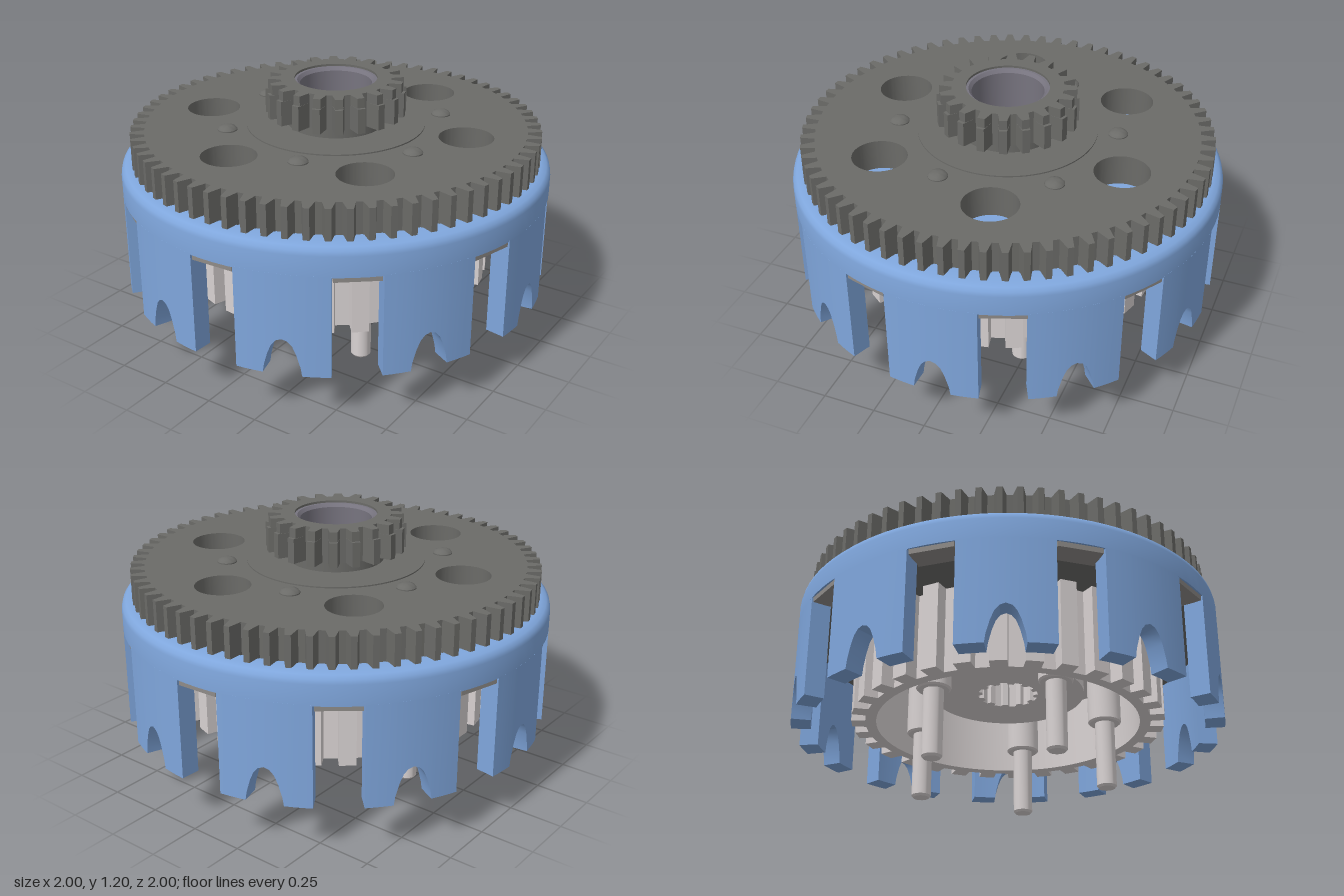
import * as THREE from 'three';
import { toCreasedNormals } from 'three/addons/utils/BufferGeometryUtils.js';

const DEG = Math.PI / 180;
const mat = (color) => new THREE.MeshStandardMaterial({ color });
const blue = mat(0x7fa6dc), dark = mat(0x6b6b68), steel = mat(0xd8d2d2), bronze = mat(0x77747f), tabGrey = mat(0x8e8b88);

function add(parent, name, geometry, material) {
  const mesh = new THREE.Mesh(geometry, material);
  mesh.name = name;
  parent.add(mesh);
  return mesh;
}

// Outline of a gear with n trapezoid teeth; base and tip are tooth width fractions
function gearPoints(n, root, tip, base = 0.66, top = 0.3, phase = 0) {
  const pts = [];
  for (let i = 0; i < n; i++) {
    for (const [r, f] of [[root, -base / 2], [tip, -top / 2], [tip, top / 2], [root, base / 2]]) {
      const a = ((i + f) / n) * Math.PI * 2 + phase;
      pts.push(new THREE.Vector2(r * Math.cos(a), r * Math.sin(a)));
    }
  }
  return pts;
}

const circlePath = (r, x = 0, y = 0) => new THREE.Path().absarc(x, y, r, 0, Math.PI * 2, true);
const disc = (r) => new THREE.Shape().absarc(0, 0, r, 0, Math.PI * 2, false);

// Flat plate raised from y0 to y1 (shape y becomes -z)
function plate(shape, holes, y0, y1) {
  shape.holes.push(...holes);
  const g = new THREE.ExtrudeGeometry(shape, { depth: y1 - y0, bevelEnabled: false, curveSegments: 48 });
  g.rotateX(-Math.PI / 2).translate(0, y0, 0);
  return toCreasedNormals(g, 0.35);
}

function lathe(profile, segments = 96) {
  const g = new THREE.LatheGeometry(profile.map(([r, y]) => new THREE.Vector2(r, y)), segments);
  return toCreasedNormals(g, 0.6);
}

// Curved basket finger whose lower edge has an arched notch
function fingerGeometry() {
  const half = 11.9 * DEG, rIn = 0.91, rOut = 1, yTop = 0.705;
  const arch = [[0.085, 0.23], [0.079, 0.27], [0.062, 0.33], [0.045, 0.37], [0.025, 0.393], [0, 0.402]];
  const side = [[half, 0.23], [half * 0.8, 0.23], [half * 0.6, 0.23], ...arch];
  const cols = [...side.map(([a, y]) => [-a, y]), ...side.slice(0, -1).reverse()];
  const pos = [], idx = [];
  for (const [a, y] of cols) {
    const s = Math.sin(a), c = Math.cos(a);
    pos.push(rOut * s, y, rOut * c, rOut * s, yTop, rOut * c, rIn * s, yTop, rIn * c, rIn * s, y, rIn * c);
  }
  for (let i = 0; i < cols.length - 1; i++) {
    for (let k = 0; k < 4; k++) {
      const a = i * 4 + k, b = i * 4 + ((k + 1) % 4);
      idx.push(a, a + 4, b + 4, a, b + 4, b);
    }
  }
  const e = (cols.length - 1) * 4;
  idx.push(0, 1, 2, 0, 2, 3, e, e + 2, e + 1, e, e + 3, e + 2);
  const g = new THREE.BufferGeometry();
  g.setAttribute('position', new THREE.Float32BufferAttribute(pos, 3));
  g.setIndex(idx);
  return toCreasedNormals(g, 0.5);
}

export function createModel() {
  const model = new THREE.Group();
  model.name = 'clutchBasketAssembly';

  // Basket: rounded top ring with closed floor, and ten fingers
  const basket = new THREE.Group();
  basket.name = 'basket';
  model.add(basket);
  add(basket, 'basketTop', lathe([
    [0.21, 0.72], [0.91, 0.72], [0.91, 0.7], [1, 0.7], [1, 0.795], [0.995, 0.815],
    [0.98, 0.83], [0.955, 0.838], [0.9, 0.84], [0.86, 0.8], [0.21, 0.8], [0.21, 0.72],
  ]), blue);
  const finger = fingerGeometry();
  const tab = new THREE.BoxGeometry(0.2, 0.033, 0.11);
  for (let i = 0; i < 10; i++) {
    add(basket, 'finger', finger, blue).rotation.y = (20.7 + 36 * i) * DEG;
    const t = add(basket, 'slotTab', tab, tabGrey);
    const a = (2.7 + 36 * i) * DEG;
    t.position.set(0.935 * Math.sin(a), 0.693, 0.935 * Math.cos(a));
    t.rotation.y = a;
  }
  add(basket, 'backingPlate', plate(disc(0.912), [circlePath(0.21)], 0.68, 0.72), dark);

  // Large driven gear with six windows and rivets
  const windows = [];
  for (let i = 0; i < 6; i++) {
    const a = (15 + 60 * i) * DEG;
    windows.push(circlePath(0.125, 0.62 * Math.cos(a), 0.62 * Math.sin(a)));
  }
  windows.push(circlePath(0.2));
  add(model, 'largeGear', plate(new THREE.Shape(gearPoints(68, 0.885, 0.95)), windows, 0.835, 0.98), dark);
  const rivet = lathe([[0.045, 0.97], [0.045, 0.985], [0.036, 0.996], [0.02, 1.002], [0, 1.003]], 24);
  for (let i = 0; i < 6; i++) {
    const a = (15 + 60 * i) * DEG;
    add(model, 'rivet', rivet, dark).position.set(0.507 * Math.cos(a), 0, 0.507 * Math.sin(a));
  }

  // Raised flange, neck and small two-step gear
  add(model, 'hubFlange', plate(disc(0.415), [circlePath(0.2)], 0.97, 0.986), dark);
  add(model, 'hubNeck', plate(disc(0.225), [circlePath(0.185)], 0.7, 1.06), dark);
  const small = (tip, y0, y1) => plate(
    new THREE.Shape(gearPoints(20, 0.255, tip, 0.68, 0.34)), [circlePath(0.19)], y0, y1);
  add(model, 'smallGear', small(0.325, 1.04, 1.155), dark);
  add(model, 'smallGearUpper', small(0.312, 1.155, 1.2), dark);
  add(model, 'bushing', lathe([[0.165, 0.7], [0.192, 0.7], [0.192, 1.19], [0.178, 1.19], [0.165, 1.175], [0.165, 0.7]]), bronze);

  // Inner hub: ribbed cup, floor, and splined centre boss
  const hub = new THREE.Group();
  hub.name = 'innerHub';
  model.add(hub);
  const spline = () => new THREE.Path(gearPoints(12, 0.122, 0.142, 0.6, 0.45).reverse());
  add(hub, 'ribbedCup', plate(new THREE.Shape(gearPoints(30, 0.665, 0.73, 0.55, 0.5)), [circlePath(0.615)], 0.28, 0.68), steel);
  add(hub, 'cupFloor', plate(disc(0.63), [spline()], 0.62, 0.675), steel);
  add(hub, 'centreBoss', plate(disc(0.36), [spline()], 0.44, 0.63), steel);

  // Five spring posts with pins
  const post = lathe([[0, 0.32], [0.07, 0.32], [0.078, 0.328], [0.078, 0.63]], 32);
  const pin = lathe([[0, 0], [0.038, 0], [0.046, 0.01], [0.046, 0.34]], 32);
  for (let i = 0; i < 5; i++) {
    const a = (-24 + 72 * i) * DEG;
    for (const [name, geometry] of [['springPost', post], ['pin', pin]]) {
      add(hub, name, geometry, steel).position.set(0.465 * Math.sin(a), 0, 0.465 * Math.cos(a));
    }
  }
  return model;
}
